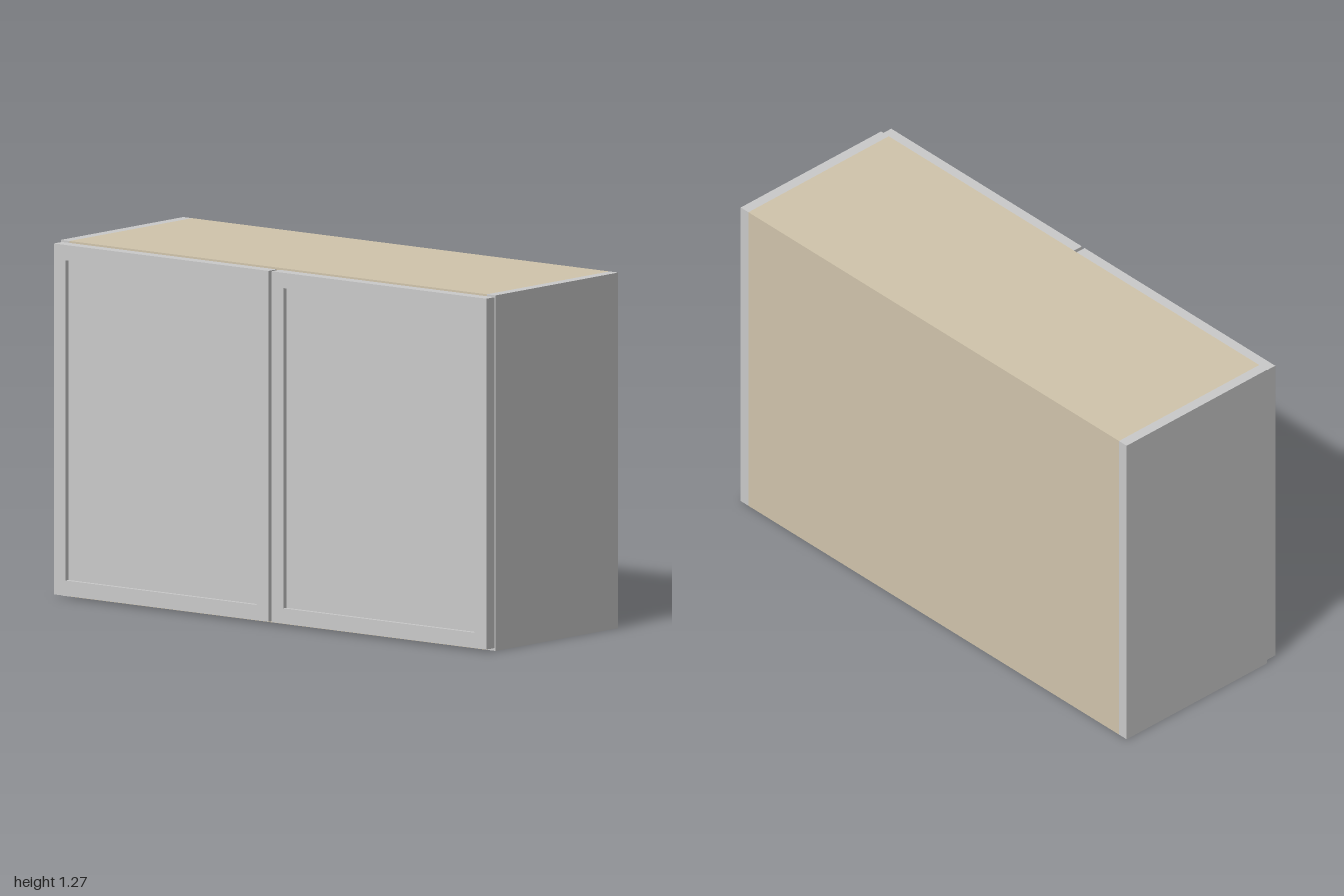
import * as THREE from 'three';

const grey = new THREE.MeshStandardMaterial({ color: 0xcccccc });
const wood = new THREE.MeshStandardMaterial({ color: 0xd2c6ad });

const W = 2, H = 1.275;          // overall width and height
const BACK = -0.363, FRONT = 0.318, FACE = 0.363; // carcass back, carcass front, door face
const T = 0.04;                  // board thickness

// Box given by its min and max corners
function board(name, material, [x0, y0, z0], [x1, y1, z1]) {
  const mesh = new THREE.Mesh(new THREE.BoxGeometry(x1 - x0, y1 - y0, z1 - z0), material);
  mesh.position.set((x0 + x1) / 2, (y0 + y1) / 2, (z0 + z1) / 2);
  mesh.name = name;
  return mesh;
}

function rectangle(target, x0, y0, x1, y1) {
  target.moveTo(x0, y0).lineTo(x1, y0).lineTo(x1, y1).lineTo(x0, y1).closePath();
  return target;
}

// Framed door with a recessed flat panel
function createDoor(name, side) {
  const door = new THREE.Group();
  door.name = name;
  const w = 0.988, h = 1.258, rail = 0.055, recess = 0.015;
  const outline = rectangle(new THREE.Shape(), -w / 2, -h / 2, w / 2, h / 2);
  outline.holes.push(rectangle(new THREE.Path(), -w / 2 + rail, -h / 2 + rail, w / 2 - rail, h / 2 - rail));
  const depth = FACE - FRONT;
  const frame = new THREE.Mesh(new THREE.ExtrudeGeometry(outline, { depth, bevelEnabled: false }), grey);
  frame.name = 'doorFrame';
  const px = w / 2 - rail, py = h / 2 - rail;
  door.add(frame, board('doorPanel', grey, [-px, -py, 0.01], [px, py, depth - recess]));
  door.position.set(side * (0.007 + w / 2), 0.01 + h / 2, FRONT);
  return door;
}

export function createModel() {
  const cabinet = new THREE.Group();
  cabinet.name = 'wallCabinet';
  const inner = W / 2 - T;

  // Side boards and doors, mirrored
  for (const [label, s] of [['left', 1], ['right', -1]]) {
    const xs = [s * inner, s * W / 2].sort((a, b) => a - b);
    cabinet.add(board(label + 'Side', grey, [xs[0], 0, BACK], [xs[1], H, FRONT]));
    cabinet.add(createDoor(label + 'Door', s));
  }

  // Carcass boards between the sides
  cabinet.add(
    board('bottomBoard', wood, [-inner, 0, BACK], [inner, T, FRONT]),
    board('topBoard', wood, [-inner, H - T, BACK], [inner, H, FRONT]),
    board('backBoard', wood, [-inner, T, BACK], [inner, H - T, BACK + 0.02]),
    board('shelf', wood, [-inner, 0.62, BACK + 0.02], [inner, 0.66, FRONT - 0.02])
  );
  return cabinet;
}
